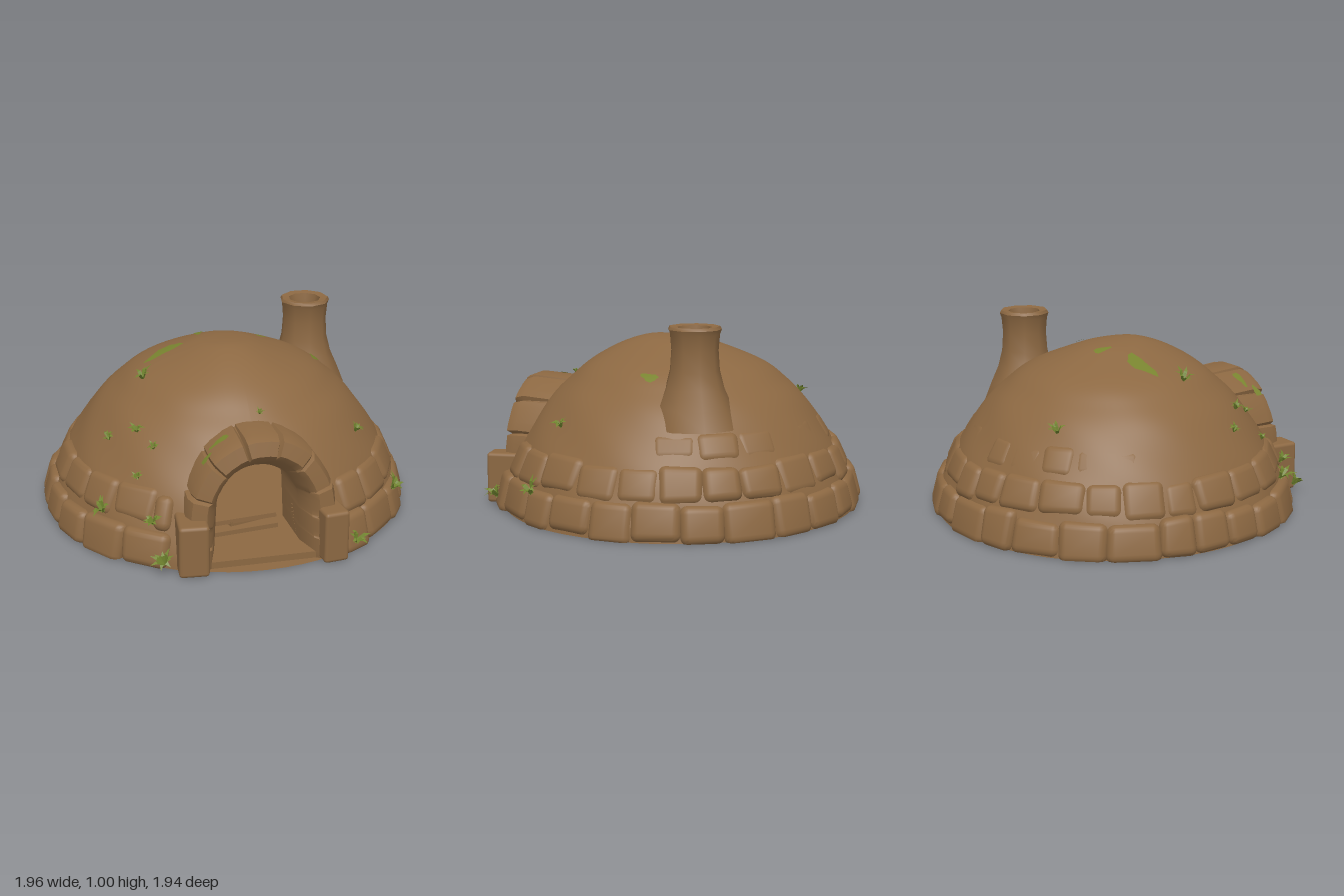
import * as THREE from 'three';
import { mergeGeometries, toCreasedNormals } from 'three/addons/utils/BufferGeometryUtils.js';
import { RoundedBoxGeometry } from 'three/addons/geometries/RoundedBoxGeometry.js';

const clay = new THREE.MeshStandardMaterial({ color: 0x8c6842, side: THREE.DoubleSide });
clay.name = 'clay brown';
const moss = new THREE.MeshStandardMaterial({ color: 0x78832f, side: THREE.DoubleSide });
moss.name = 'moss green';
const grass = new THREE.MeshStandardMaterial({ color: 0x71842f, side: THREE.DoubleSide });
grass.name = 'grass green';

let seed = 7;
const rand = (a = 0, b = 1) => {
  seed = (seed * 16807) % 2147483647;
  return a + (b - a) * (seed / 2147483647);
};

// Dome profile from the ground to the crown
const profile = new THREE.SplineCurve([[0.955, 0], [0.94, 0.08], [0.9, 0.2], [0.82, 0.36], [0.69, 0.55],
  [0.58, 0.66], [0.45, 0.755], [0.2, 0.855], [0.09, 0.88], [0, 0.885]]
  .map(([r, y]) => new THREE.Vector2(r, y))).getPoints(60);
const swell = (x, z) => 0.035 * Math.exp(-(x * x + (z - 0.28) ** 2) / 0.05);
function domeHeight(x, z) {
  const r = Math.hypot(x, z);
  const i = profile.findIndex(p => p.x <= r);
  if (i < 1) return 0;
  const a = profile[i - 1], b = profile[i];
  return a.y + (b.y - a.y) * (a.x - r) / (a.x - b.x) + swell(x, z);
}
function domeAt(y) {
  const i = Math.max(1, profile.findIndex(p => p.y >= y));
  const a = profile[i - 1], b = profile[i];
  return { r: b.x, tilt: Math.atan2(a.x - b.x, b.y - a.y) };
}

function mesh(parent, name, geometry, material = clay) {
  const m = new THREE.Mesh(geometry, material);
  m.name = name;
  parent.add(m);
  return m;
}

// Arch curve: straight legs below a half ellipse; t runs 0..1 from one foot to the other
function archPoint(w, h, t) {
  const spring = 0.26, leg = 0.22;
  if (t < leg) return [-w * (1.06 - 0.06 * t / leg), spring * t / leg];
  if (t > 1 - leg) return [w * (1.06 - 0.06 * (1 - t) / leg), spring * (1 - t) / leg];
  const a = Math.PI * (1 - (t - leg) / (1 - 2 * leg));
  return [w * Math.cos(a), spring + (h - spring) * Math.sin(a)];
}

// Removes the faces in front of the doorway
function cutDoor(g, halfWidth, top) {
  const p = g.attributes.position, src = g.index.array, kept = [];
  for (let i = 0; i < src.length; i += 3) {
    let x = 0, y = 0, z = 0;
    for (let k = 0; k < 3; k++) {
      x += p.getX(src[i + k]) / 3; y += p.getY(src[i + k]) / 3; z += p.getZ(src[i + k]) / 3;
    }
    const roof = 0.26 + (top - 0.26) * Math.sqrt(Math.max(0, 1 - (x / halfWidth) ** 2));
    if (!(z > 0 && Math.abs(x) < halfWidth && y < roof)) kept.push(src[i], src[i + 1], src[i + 2]);
  }
  g.setIndex(kept);
  return g;
}

function domeGeometry() {
  const g = new THREE.LatheGeometry(profile, 120), p = g.attributes.position;
  for (let i = 0; i < p.count; i++) {
    const x = p.getX(i), y = p.getY(i), z = p.getZ(i), a = Math.atan2(x, z);
    const k = 1 + 0.006 * Math.sin(a * 7 + y * 9) * Math.sin(y * 13 + a * 2);
    p.setXYZ(i, x * k, y + swell(x, z) * Math.min(1, y / 0.5), z * k);
  }
  g.computeVertexNormals();
  return cutDoor(g, 0.31, 0.585);
}

// Door surround: a lofted section with a groove at every stone joint
function archGeometry() {
  const section = [[0.37, 0.64, 0.48], [0.375, 0.655, 0.83], [0.355, 0.635, 0.88], [0.28, 0.565, 0.895],
    [0.25, 0.535, 0.87], [0.21, 0.475, 0.74], [0.2, 0.46, 0.46]];
  const blocks = 11, cuts = [0, 0.07, 0.3, 0.7, 0.93], pos = [], idx = [];
  let cols = 0;
  for (let b = 0; b < blocks; b++) {
    const grow = rand(-0.008, 0.012), push = rand(-0.012, 0.012);
    for (const c of b === blocks - 1 ? [...cuts, 1] : cuts) {
      const groove = c === 0 || c === 1 ? -0.014 : grow;
      section.forEach(([w, h, z], j) => {
        const s = j > 0 && j < 4 ? groove : 0;
        const [x, y] = archPoint(w + s, h + s, (b + c) / blocks);
        pos.push(x, y, z + (j > 0 && j < 5 ? push + s - 0.06 * y : 0));
      });
      cols++;
    }
  }
  const n = section.length;
  for (let i = 0; i < cols - 1; i++) for (let j = 0; j < n - 1; j++) {
    const a = i * n + j, b = a + n;
    idx.push(a, a + 1, b, b, a + 1, b + 1);
  }
  const g = new THREE.BufferGeometry();
  g.setAttribute('position', new THREE.Float32BufferAttribute(pos, 3));
  g.setIndex(idx);
  return toCreasedNormals(g, 0.7);
}

// One weathered stone bedded in the dome wall
function stone(angle, y, w, h, out) {
  const { r, tilt } = domeAt(y);
  const g = new RoundedBoxGeometry(w, h, 0.13, 3, 0.042), p = g.attributes.position;
  const sx = rand(-0.1, 0.1), sy = rand(-0.12, 0.12);
  for (let i = 0; i < p.count; i++) {
    const x = p.getX(i), v = p.getY(i);
    p.setXYZ(i, x * (1 + sx * v / h), v * (1 + sy * x / w), p.getZ(i) - 0.9 * x * x);
  }
  g.rotateX(-tilt);
  g.translate(0, y, r - 0.065 + out);
  g.rotateY(angle);
  for (let i = 0; i < p.count; i++) p.setY(i, Math.max(0, p.getY(i)));
  g.computeVertexNormals();
  return toCreasedNormals(g, 0.9);
}

function stoneRow(y, h, out, from, to) {
  const list = [];
  for (let a = from; a < to - 0.08;) {
    const step = Math.min(rand(0.19, 0.29), to - a), r = domeAt(y).r;
    list.push(stone(a + step / 2, y + rand(-0.012, 0.012), step * r * 1.04, h * rand(0.92, 1.12), out + rand(-0.009, 0.009)));
    a += step;
  }
  return mergeGeometries(list);
}

// Tuft of bent blades
function tuftGeometry(size) {
  const pos = [];
  for (let i = 0; i < 9; i++) {
    const a = i * 2.4 + rand(-0.4, 0.4), l = size * rand(0.7, 1.2), w = size * 0.14;
    const at = (d, y, s) => [Math.cos(a) * d - Math.sin(a) * s, y, Math.sin(a) * d + Math.cos(a) * s];
    const A = at(0, -0.01, -w), B = at(0, -0.01, w), C = at(l * 0.4, l * 0.55, -w), D = at(l * 0.4, l * 0.55, w);
    pos.push(...A, ...B, ...C, ...C, ...B, ...D, ...C, ...D, ...at(l * 0.85, l * rand(0.35, 0.8), 0));
  }
  const g = new THREE.BufferGeometry();
  g.setAttribute('position', new THREE.Float32BufferAttribute(pos, 3));
  g.computeVertexNormals();
  return g;
}

// Thin irregular patch draped over a height rule
function patchGeometry(x, z, w, d, height) {
  const g = new THREE.RingGeometry(0.001, 1, 11, 3), p = g.attributes.position;
  for (let i = 0; i < p.count; i++) {
    const u = p.getX(i), v = p.getY(i), k = 1 + 0.25 * Math.sin(Math.atan2(v, u) * 3 + x * 40);
    const px = x + u * w * k, pz = z + v * d * k - u * d * 0.35;
    p.setXYZ(i, px, height(px, pz) + 0.008, pz);
  }
  g.computeVertexNormals();
  return g;
}

export function createModel() {
  const oven = new THREE.Group();
  oven.name = 'clayOven';

  mesh(oven, 'domeShell', domeGeometry());
  const inner = new THREE.LatheGeometry(profile.map(p => new THREE.Vector2(p.x * 0.76, p.y * 0.8)), 64);
  mesh(oven, 'innerChamber', cutDoor(inner, 0.235, 0.5));
  mesh(oven, 'base', new THREE.CircleGeometry(0.95, 64).rotateX(Math.PI / 2));
  mesh(oven, 'chamberFloor', new THREE.CircleGeometry(0.74, 48).rotateX(-Math.PI / 2).translate(0, 0.035, 0));
  mesh(oven, 'doorSill', new THREE.BoxGeometry(0.56, 0.035, 0.42).translate(0, 0.0175, 0.67));

  // Doorway
  mesh(oven, 'doorArch', archGeometry());
  for (const [x, w, turn] of [[-0.35, 0.15, -0.08], [0.335, 0.13, 0.12]]) {
    const pillar = mesh(oven, 'doorFootStone', new RoundedBoxGeometry(w, 0.27, 0.34, 2, 0.018));
    pillar.position.set(x, 0.135, 0.785);
    pillar.rotation.y = turn;
  }

  // Stone courses around the foot of the dome
  mesh(oven, 'lowerStones', stoneRow(0.08, 0.19, 0.034, 0.44, 2 * Math.PI - 0.46));
  mesh(oven, 'middleStones', stoneRow(0.25, 0.18, 0.022, 0.5, 2 * Math.PI - 0.52));
  mesh(oven, 'upperStones', stoneRow(0.4, 0.15, 0.006, 1.7, 4.3));

  // Chimney with a flared foot and open flue
  const flue = [[0.23, 0.5], [0.19, 0.6], [0.15, 0.69], [0.127, 0.78], [0.12, 0.88], [0.127, 0.96],
    [0.136, 0.985], [0.128, 1], [0.088, 0.995], [0.075, 0.93], [0.07, 0.86], [0, 0.86]];
  const chimney = new THREE.LatheGeometry(flue.map(([r, y]) => new THREE.Vector2(r, y)), 9);
  mesh(oven, 'chimney', toCreasedNormals(chimney, 0.75)).position.set(0.51, 0, -0.24);

  // Firewood
  for (const [x, y, z, l, roll, yaw] of [[-0.03, 0.065, 0.62, 0.34, 0.01, 0.1],
    [-0.02, 0.1, 0.57, 0.32, 0.14, -0.15], [0.02, 0.07, 0.52, 0.26, -0.05, 0.35]]) {
    const log = mesh(oven, 'firewoodLog', new THREE.BoxGeometry(l, 0.024, 0.035));
    log.position.set(x, y, z);
    log.rotation.set(0, yaw, roll);
  }

  // Grass tufts: x, z, size and, near the ground, y
  for (const [x, z, size, y] of [[-0.37, -0.58, 0.055], [-0.46, 0.13, 0.065], [-0.67, 0.3, 0.05], [-0.54, 0.41, 0.05],
    [-0.75, 0.56, 0.07, 0.22], [-0.57, 0.57, 0.04], [-0.48, 0.53, 0.045], [-0.53, 0.75, 0.06, 0.22],
    [-0.5, 0.88, 0.07, 0.06], [0.48, 0.86, 0.07, 0.06], [0.79, 0.53, 0.075, 0.17], [0.6, 0.44, 0.05], [0.05, 0.57, 0.03]]) {
    const tuft = mesh(oven, 'grassTuft', tuftGeometry(size), grass);
    tuft.position.set(x, y ?? domeHeight(x, z), z);
    tuft.rotation.set(z * 0.6, 0, -x * 0.6);
  }

  // Moss patches on the dome and the arch
  for (const [x, z, w, d] of [[-0.32, -0.04, 0.1, 0.045], [-0.11, -0.14, 0.025, 0.045],
    [0.215, -0.06, 0.03, 0.018], [0.5, 0, 0.025, 0.045]])
    mesh(oven, 'mossPatch', patchGeometry(x, z, w, d, domeHeight), moss);
  const archTop = x => 0.27 + 0.39 * Math.sqrt(Math.max(0, 1 - (x / 0.38) ** 2));
  mesh(oven, 'archMoss', patchGeometry(-0.19, 0.73, 0.05, 0.022, archTop), moss);
  mesh(oven, 'archMoss', patchGeometry(-0.27, 0.79, 0.025, 0.02, archTop), moss);

  return oven;
}
